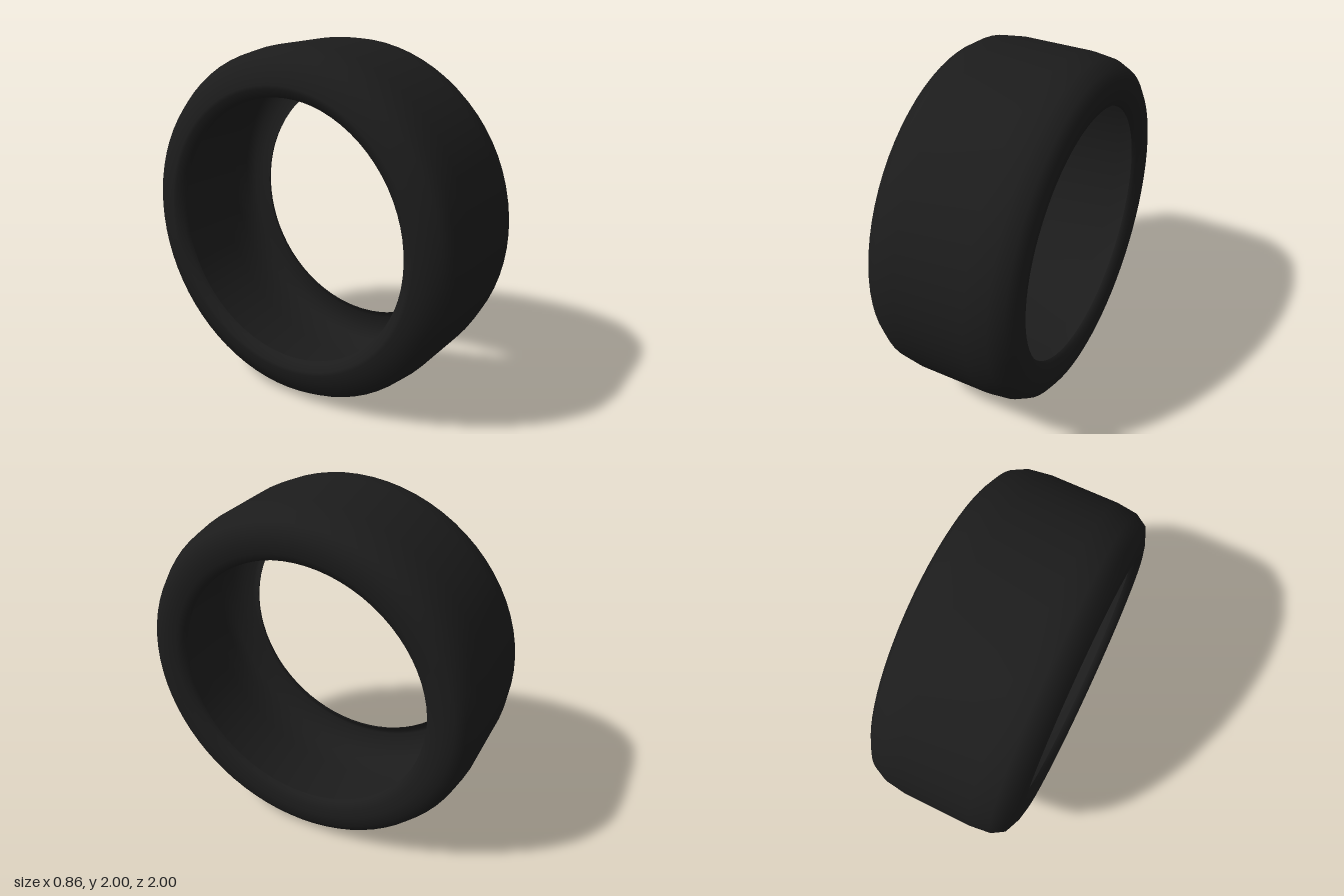
import * as THREE from 'three';

const SEGMENTS = 72;

export function createModel() {
  // The tyre is an open shell, seen from inside as well
  const rubber = new THREE.MeshStandardMaterial({ color: 0x1c1c1c, side: THREE.DoubleSide });
  rubber.name = 'black rubber';

  const group = new THREE.Group();
  group.name = 'tyre';

  // Cross-section as [x, radius]: right bead, sidewall, tread, left sidewall, bead
  const section = [
    [-0.385, 0.74], [-0.41, 0.75], [-0.43, 0.79], [-0.432, 0.81], [-0.42, 0.865], [-0.385, 0.945],
    [-0.32, 0.985], [-0.2, 1], [0.2, 1], [0.32, 0.985], [0.395, 0.95],
    [0.428, 0.9], [0.43, 0.84], [0.425, 0.79], [0.41, 0.75], [0.385, 0.74],
  ];
  const geometry = new THREE.LatheGeometry(section.map(([x, r]) => new THREE.Vector2(r, x)), SEGMENTS);
  geometry.rotateZ(-Math.PI / 2);

  const tyre = new THREE.Mesh(geometry, rubber);
  tyre.name = 'treadAndSidewalls';
  tyre.position.y = 1;
  group.add(tyre);

  return group;
}
